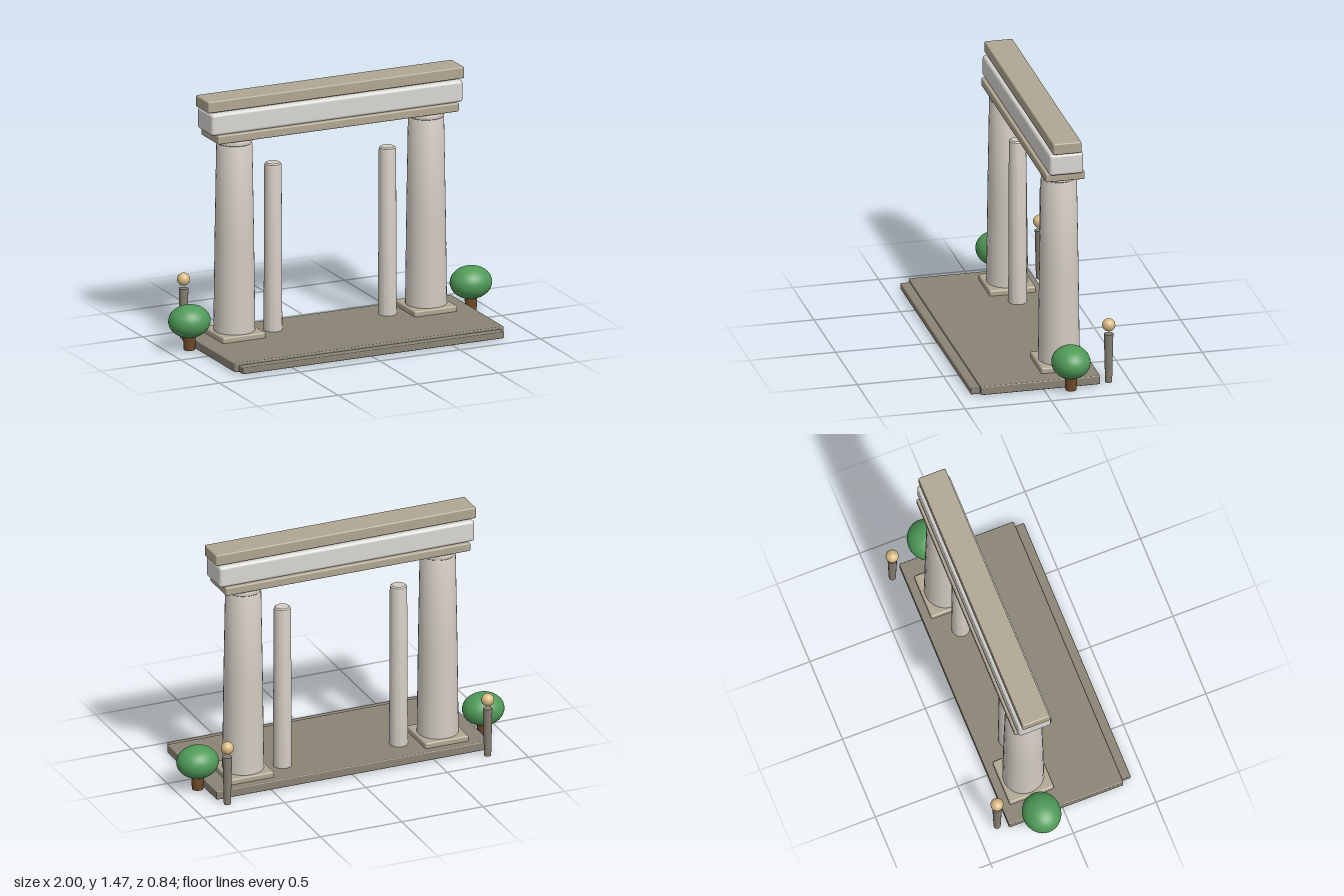
import * as THREE from 'three';
import { RoundedBoxGeometry } from 'three/addons/geometries/RoundedBoxGeometry.js';
import { toCreasedNormals } from 'three/addons/utils/BufferGeometryUtils.js';

const material = (color) => new THREE.MeshStandardMaterial({ color });
const ROW = -0.144; // z of the colonnade

export function createModel() {
  const model = new THREE.Group();
  const paving = material(0x8a8375);
  const trim = material(0xb0a692);
  const stone = material(0xd2cbc2);
  const pale = material(0xd8d6d2);
  const post = material(0x857d72);
  const brass = material(0xd9bb82);
  const leaves = material(0x4f9a58);
  const bark = material(0x6e4a2a);

  function add(name, geometry, mat, x = 0, y = 0, z = 0) {
    const mesh = new THREE.Mesh(geometry, mat);
    mesh.name = name;
    mesh.position.set(x, y, z);
    model.add(mesh);
    return mesh;
  }

  // Softened block given by its extents
  function block(name, mat, [x0, x1], [y0, y1], [z0, z1], radius) {
    const geometry = new RoundedBoxGeometry(x1 - x0, y1 - y0, z1 - z0, 3, radius);
    add(name, geometry, mat, (x0 + x1) / 2, (y0 + y1) / 2, (z0 + z1) / 2);
  }

  // Turned shape from [radius, height] pairs, bottom to top
  function turned(points, segments = 32) {
    const profile = points.map(([r, y]) => new THREE.Vector2(r, y));
    return toCreasedNormals(new THREE.LatheGeometry(profile, segments), 0.6);
  }

  // Platform and front step
  block('platform', paving, [-0.84, 0.84], [0.005, 0.057], [-0.325, 0.367], 0.006);
  block('frontStep', paving, [-0.815, 0.815], [0.005, 0.043], [0.3, 0.42], 0.005);

  // Stacked beam
  block('lowerBeam', trim, [-0.752, 0.752], [1.222, 1.272], [ROW - 0.113, ROW + 0.113], 0.008);
  block('middleBeam', pale, [-0.784, 0.784], [1.27, 1.397], [ROW - 0.099, ROW + 0.099], 0.018);
  block('topBeam', trim, [-0.8, 0.8], [1.403, 1.47], [ROW - 0.082, ROW + 0.082], 0.008);
  block('beamJoint', trim, [-0.76, 0.76], [1.38, 1.42], [ROW - 0.06, ROW + 0.06], 0.005);

  const columnShaft = turned([[0, 0], [0.119, 0], [0.118, 0.09], [0.111, 0.65], [0.102, 1.18], [0.098, 1.19], [0, 1.19]]);
  const columnCap = turned([[0, 1.185], [0.095, 1.185], [0.101, 1.192], [0.102, 1.205], [0.1, 1.218], [0.094, 1.226], [0, 1.226]]);
  const slimShaft = turned([[0, 0.03], [0.053, 0.03], [0.049, 1.02], [0.046, 1.033], [0.038, 1.04], [0, 1.04]]);

  for (const side of [-1, 1]) {
    const x = side * 0.598;

    // Main column
    block('columnBase', trim, [x - 0.134, x + 0.134], [0.05, 0.09], [ROW - 0.134, ROW + 0.134], 0.01);
    add('columnShaft', columnShaft, stone, x, 0, ROW);
    add('columnCap', columnCap, stone, x, 0, ROW);

    // Free-standing slim column
    add('slimColumn', slimShaft, stone, side * 0.357, 0, ROW);

    // Round tree
    add('treeTrunk', new THREE.CylinderGeometry(0.037, 0.032, 0.11, 16), bark, side * 0.878, 0.062, ROW);
    const crown = add('treeCrown', new THREE.SphereGeometry(1, 32, 20), leaves, side * 0.878, 0.174, ROW);
    crown.scale.set(0.122, 0.094, 0.11);

    // Lamp post with its globe hovering just above
    add('lampPost', new THREE.CylinderGeometry(0.027, 0.02, 0.292, 16), post, side * 0.8, 0.146, -0.382);
    add('lampGlobe', new THREE.SphereGeometry(0.037, 24, 16), brass, side * 0.8, 0.345, -0.383);
  }

  return model;
}
